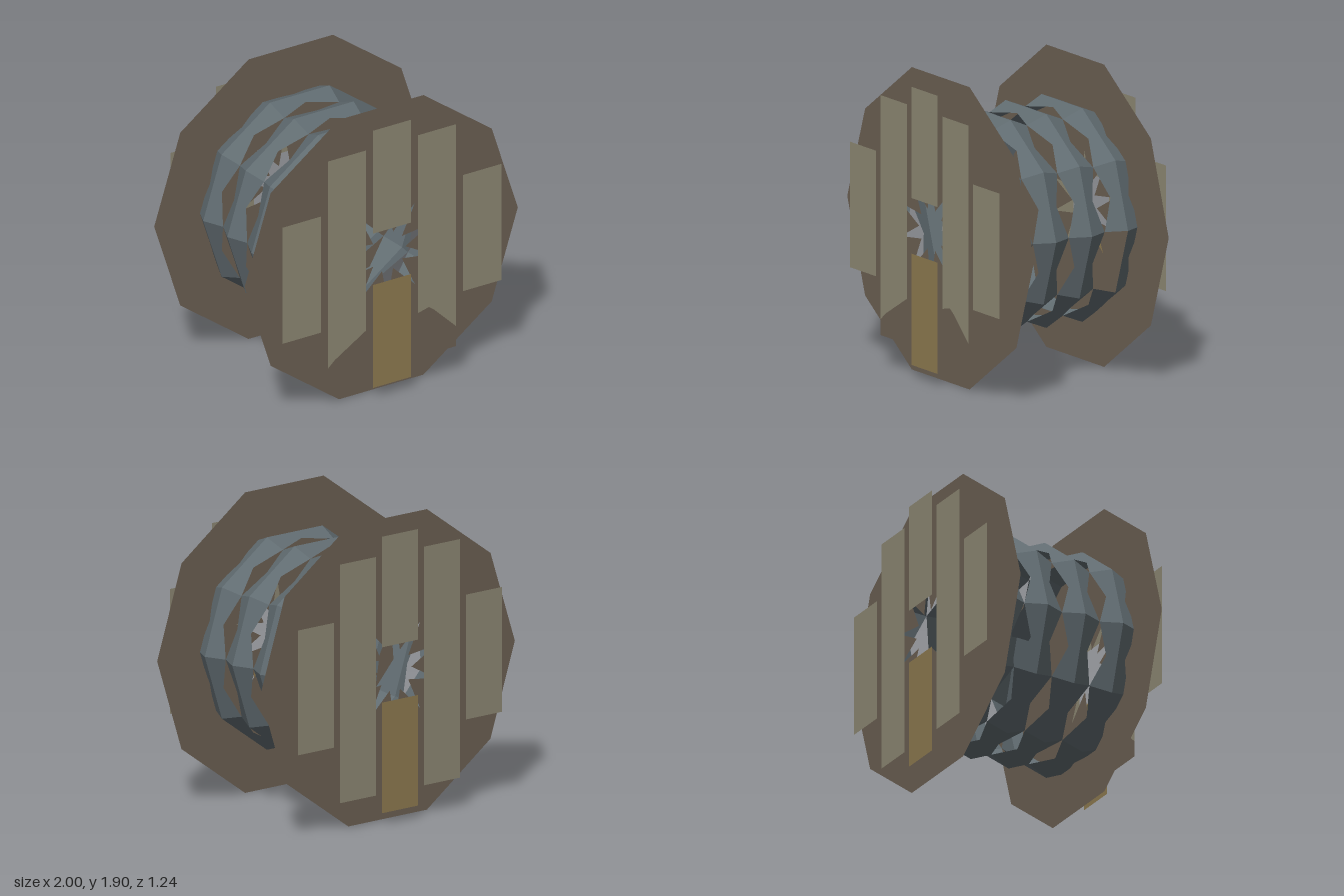
import * as THREE from 'three';

const CY = 0.951; // height of the spool axis

function material(name, color) {
  const m = new THREE.MeshStandardMaterial({ color, side: THREE.DoubleSide, flatShading: true });
  m.name = name;
  return m;
}

// Points of a ring, alternating between the given radii
function ringPoints(count, ...radii) {
  return Array.from({ length: count }, (_, i) => {
    const a = (i / count) * Math.PI * 2;
    const r = radii[i % radii.length];
    return new THREE.Vector2(Math.cos(a) * r, Math.sin(a) * r);
  });
}

function flat(name, points, mat, z, hole) {
  const shape = new THREE.Shape(points);
  if (hole) shape.holes.push(new THREE.Path(hole));
  const mesh = new THREE.Mesh(new THREE.ShapeGeometry(shape), mat);
  mesh.name = name;
  mesh.position.z = z;
  return mesh;
}

const poly = (...pairs) => pairs.map(([x, y]) => new THREE.Vector2(x, y - CY));
const rect = (x0, x1, y0, y1) => poly([x0, y0], [x1, y0], [x1, y1], [x0, y1]);

// One flange: outer ring, raised star-holed face and planks, facing +z
function flange(name, mats, stained) {
  const g = new THREE.Group();
  g.name = name;
  g.add(flat('flangeRing', ringPoints(10, 1), mats.brown, 0.5, ringPoints(10, 0.6)));
  g.add(flat('flangeFace', ringPoints(10, 0.84), mats.brown, 0.57, ringPoints(20, 0.13, 0.34)));
  const z = 0.62;
  g.add(flat('topPlank', rect(-0.14, 0.14, 1.13, 1.83), mats.plank, z));
  g.add(flat('bottomPlank', rect(-0.14, 0.14, 0.08, 0.78), mats.gold, z));
  for (const s of [-1, 1]) {
    g.add(flat('outerPlank', rect(s * 0.66 - 0.14, s * 0.66 + 0.14, 0.56, 1.35), mats.plank, z));
    if (!stained) g.add(flat('longPlank', rect(s * 0.33 - 0.14, s * 0.33 + 0.14, 0.2, 1.71), mats.plank, z));
  }
  if (stained) {
    // Long planks split along the edge of the dark stain
    const edges = [
      [[-0.47, 0.3], [-0.42, 0.345], [-0.19, 0.485]],
      [[0.19, 0.5], [0.27, 0.52], [0.31, 0.49], [0.47, 0.335]],
    ];
    for (const e of edges) {
      const x0 = e[0][0], x1 = e[e.length - 1][0];
      g.add(flat('longPlank', poly(...e, [x1, 1.71], [x0, 1.71]), mats.plank, z));
      g.add(flat('plankStain', poly([x0, 0.2], [x1, 0.2], ...[...e].reverse()), mats.brown, z));
    }
  }
  return g;
}

// One cable turn: ten faceted segments, each pinched in the middle
function cableTurn(zc, isLast) {
  const pos = [];
  const at = (i, r, z) => {
    const a = (i / 10) * Math.PI * 2;
    return new THREE.Vector3(Math.cos(a) * r, Math.sin(a) * r, z);
  };
  for (let i = 0; i < 10; i++) {
    for (const s of [-1, 1]) {
      if (isLast && i === 9 && s === 1) continue; // loose end of the cable
      const r0 = at(i, 0.707, zc), r1 = at(i + 1, 0.707, zc);
      const s0 = at(i, 0.65, zc + s * 0.133), s1 = at(i + 1, 0.65, zc + s * 0.133);
      const mid = r0.clone().add(r1).add(s0).add(s1).multiplyScalar(0.25);
      const tris = [[r0, s0, mid], [r0, mid, r1], [mid, s1, r1]];
      for (const [a, b, c] of tris) {
        for (const v of s > 0 ? [a, c, b] : [a, b, c]) pos.push(v.x, v.y, v.z);
      }
    }
  }
  const geo = new THREE.BufferGeometry();
  geo.setAttribute('position', new THREE.Float32BufferAttribute(pos, 3));
  geo.computeVertexNormals();
  // Turn any face that points at the axis outwards
  const n = geo.attributes.normal, p = geo.attributes.position;
  for (let t = 0; t < p.count; t += 3) {
    if (p.getX(t) * n.getX(t) + p.getY(t) * n.getY(t) >= 0) continue;
    const b = new THREE.Vector3().fromBufferAttribute(p, t + 1);
    const c = new THREE.Vector3().fromBufferAttribute(p, t + 2);
    p.setXYZ(t + 1, c.x, c.y, c.z);
    p.setXYZ(t + 2, b.x, b.y, b.z);
  }
  geo.computeVertexNormals();
  return geo;
}

export function createModel() {
  const mats = {
    brown: material('dark wood', 0x6c6053),
    plank: material('pale wood', 0x8e8974),
    gold: material('yellow wood', 0x8f7b50),
    cable: material('cable grey', 0x606b70),
  };
  const spool = new THREE.Group();
  spool.name = 'cableSpool';

  const front = flange('frontFlange', mats, true);
  const back = flange('backFlange', mats, false);
  back.rotation.y = Math.PI;
  spool.add(front, back);

  // Four turns of cable between the flanges
  for (let k = 0; k < 4; k++) {
    const turn = new THREE.Mesh(cableTurn(0.4 - k * 0.267, k === 3), mats.cable);
    turn.name = 'cableTurn';
    spool.add(turn);
  }

  spool.position.y = CY;
  const model = new THREE.Group();
  model.name = 'model';
  model.add(spool);
  return model;
}
